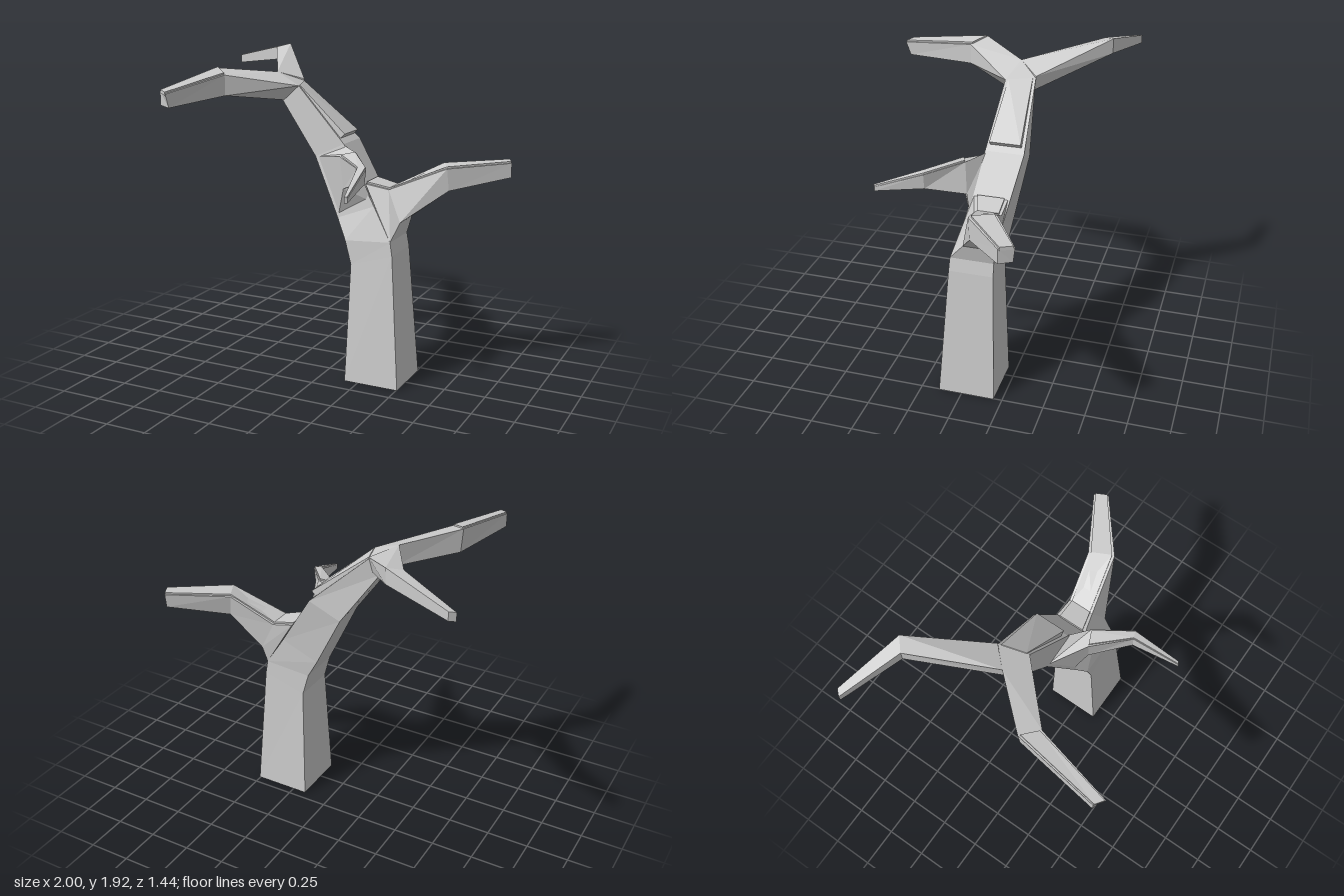
import * as THREE from 'three';

const material = new THREE.MeshStandardMaterial({ color: 0xcccccc, flatShading: true });
const vec = (p) => new THREE.Vector3(...p);

// Capped faceted loft through four-cornered rings, wound outwards.
function loft(name, rings) {
  const r = rings.map((ring) => ring.map(vec));
  const last = r[r.length - 1];
  const tris = [];
  const quad = (a, b, c, d) => tris.push([a, b, c], [a, c, d]);
  for (let i = 0; i + 1 < r.length; i++) {
    for (let j = 0; j < 4; j++) {
      const k = (j + 1) % 4;
      quad(r[i][j], r[i][k], r[i + 1][k], r[i + 1][j]);
    }
  }
  quad(r[0][3], r[0][2], r[0][1], r[0][0]);
  quad(...last);
  let volume = 0;
  for (const [a, b, c] of tris) {
    volume += a.clone().sub(r[0][0]).dot(b.clone().sub(r[0][0]).cross(c.clone().sub(r[0][0])));
  }
  const points = tris.flatMap(([a, b, c]) => (volume < 0 ? [a, c, b] : [a, b, c]));
  const geometry = new THREE.BufferGeometry().setFromPoints(points);
  geometry.computeVertexNormals();
  const mesh = new THREE.Mesh(geometry, material);
  mesh.name = name;
  return mesh;
}

// Thin raised strip along the upper side of a limb; each station is [edgeA, edgeB, lift].
function strip(name, stations, direction) {
  const up = vec(direction).normalize();
  return loft(name, stations.map(([a, b, lift]) => {
    const p = vec(a).lerp(vec(b), 0.1), q = vec(a).lerp(vec(b), 0.9);
    const raise = (v, d) => v.clone().addScaledVector(up, d).toArray();
    return [raise(p, -0.01), raise(q, -0.01), raise(q, lift), raise(p, lift)];
  }));
}

export function createModel() {
  const tree = new THREE.Group();
  tree.name = 'bareTree';

  // Trunk: corners run left-front, right-front, right-back, left-back
  const fork = [[0.14, 0.86, 0.085], [0.425, 0.88, 0.085], [0.425, 0.88, -0.175], [0.14, 0.86, -0.175]];
  tree.add(loft('trunk', [
    [[0.165, 0, 0.14], [0.505, 0, 0.14], [0.505, 0, -0.2], [0.165, 0, -0.2]],
    [[0.18, 0.72, 0.09], [0.44, 0.8, 0.09], [0.44, 0.8, -0.175], [0.18, 0.72, -0.175]],
    fork,
  ]));

  // Leaning main bough, closing in a wedge between the two upper limbs
  const boughLow = [[-0.11, 1.32, -0.03], [0.08, 1.41, -0.02], [0.08, 1.41, -0.25], [-0.11, 1.32, -0.235]];
  const boughTop = [[-0.34, 1.64, -0.05], [-0.23, 1.73, -0.05], [-0.28, 1.74, -0.22], [-0.34, 1.65, -0.2]];
  tree.add(loft('mainBough', [
    fork,
    [[0.07, 0.98, 0.04], [0.3, 1.07, 0.035], [0.3, 1.07, -0.19], [0.07, 0.98, -0.19]],
    boughLow,
    boughTop,
    [[-0.38, 1.67, -0.1], [-0.4, 1.8, -0.1], [-0.4, 1.8, -0.115], [-0.38, 1.67, -0.115]],
  ]));
  tree.add(strip('boughBark', [
    [[0.05, 1.44, -0.02], [0.05, 1.44, -0.25], 0.035],
    [boughTop[1], boughTop[2], 0.004],
  ], [1, 1, 0]));

  // Limbs: corners run top outer, top inner, bottom inner, bottom outer
  const limbs = {
    sideLimb: [
      [[0.23, 1.19, 0], [0.23, 1.19, -0.2], [0.425, 0.88, -0.175], [0.425, 0.88, 0.085]],
      [[0.36, 1.16, -0.04], [0.36, 1.16, -0.2], [0.45, 0.98, -0.19], [0.45, 0.98, 0]],
      [[0.69, 1.3, -0.11], [0.62, 1.3, -0.25], [0.64, 1.17, -0.23], [0.7, 1.17, -0.12]],
      [[0.995, 1.315, -0.36], [0.955, 1.315, -0.44], [0.955, 1.23, -0.43], [0.995, 1.23, -0.36]],
    ],
    upperBackLimb: [
      [[-0.4, 1.8, -0.1], [-0.28, 1.75, -0.22], [-0.3, 1.66, -0.21], [-0.38, 1.67, -0.1]],
      [[-0.65, 1.9, -0.55], [-0.58, 1.92, -0.61], [-0.58, 1.83, -0.61], [-0.65, 1.82, -0.55]],
      [[-1, 1.82, -0.69], [-0.97, 1.83, -0.72], [-0.97, 1.78, -0.72], [-1, 1.77, -0.69]],
    ],
    upperFrontLimb: [
      [[-0.4, 1.8, -0.1], [-0.23, 1.73, -0.05], [-0.33, 1.64, -0.05], [-0.38, 1.67, -0.1]],
      [[-0.65, 1.84, 0.18], [-0.55, 1.81, 0.26], [-0.55, 1.69, 0.26], [-0.64, 1.7, 0.18]],
      [[-0.71, 1.76, 0.68], [-0.65, 1.75, 0.72], [-0.65, 1.67, 0.69], [-0.71, 1.68, 0.68]],
    ],
    frontTwig: [
      [[-0.1, 1.32, -0.035], [0.08, 1.4, -0.03], [0.28, 1.09, 0.01], [0.07, 0.99, 0.03]],
      [[0.11, 1.36, 0.1], [0.2, 1.38, 0.06], [0.24, 1.2, 0.04], [0.13, 1.17, 0.09]],
      [[0.3, 1.34, 0.28], [0.35, 1.34, 0.26], [0.34, 1.25, 0.26], [0.3, 1.25, 0.28]],
      [[0.355, 1.235, 0.56], [0.372, 1.235, 0.55], [0.372, 1.21, 0.55], [0.355, 1.21, 0.56]],
    ],
  };
  for (const [name, rings] of Object.entries(limbs)) tree.add(loft(name, rings));

  // Raised bark along the tops of the limbs
  const barked = { sideLimb: 0, upperFrontLimb: 1, frontTwig: 1 };
  for (const [name, start] of Object.entries(barked)) {
    const stations = limbs[name].slice(start).map(([a, b]) => [a, b, 0.01]);
    tree.add(strip(name + 'Bark', stations, [0, 1, 0]));
  }
  return tree;
}
